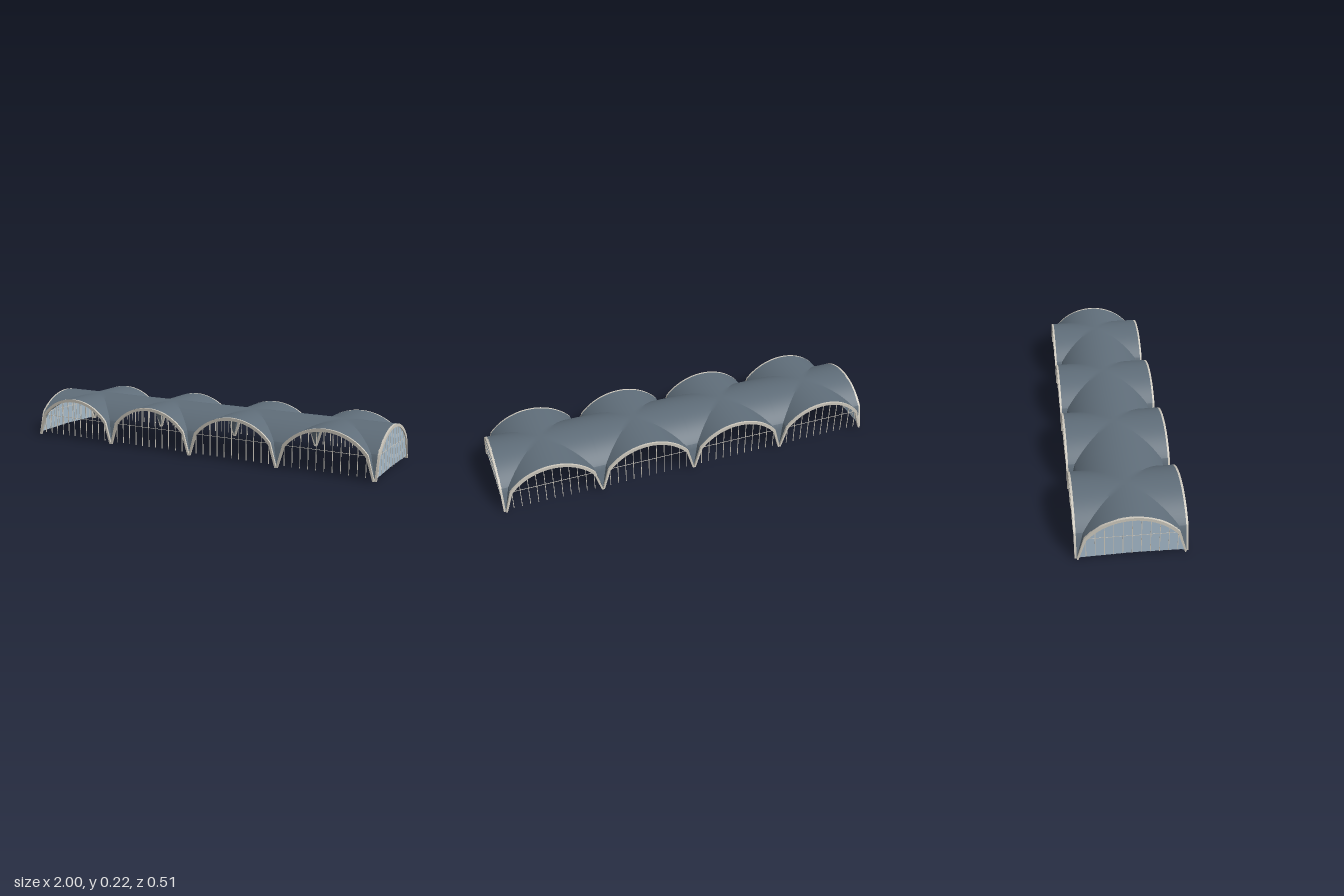
import * as THREE from 'three';
import { toCreasedNormals } from 'three/addons/utils/BufferGeometryUtils.js';

const BAYS = 4, PITCH = 0.495, HALF = 0.247, LENGTH = BAYS * PITCH;
const RIB = 0.012, CENTRE = -0.056;

// Arch heights: a shallow arc that turns into a steep straight leg.
const leg = (s, s0, y0, s1, y1) => y0 + (y1 - y0) * (s - s0) / (s1 - s0);
const outer = s => s < 0.215 ? CENTRE + Math.sqrt(0.278 ** 2 - s * s) : leg(s, 0.215, 0.12, HALF, 0.006);
const inner = s => s < 0.205 ? CENTRE + Math.sqrt(0.263 ** 2 - s * s) : leg(s, 0.205, 0.109, 0.24, 0);

// Points along an arch from -half to +half, closer together towards the feet.
function archPoints(fn, half, knee, n = 32) {
  const pts = [new THREE.Vector2(-half, fn(half))];
  for (let i = 0; i <= n; i++) {
    const s = knee * Math.sin((i / n - 0.5) * Math.PI);
    pts.push(new THREE.Vector2(s, fn(Math.abs(s))));
  }
  pts.push(new THREE.Vector2(half, fn(half)));
  return pts;
}

// Groin-vaulted bay: the higher of two crossing barrel vaults.
function vaultGeometry() {
  const steps = [];
  for (let i = -16; i <= 16; i++) steps.push(0.215 * Math.sin(i / 16 * Math.PI / 2));
  for (const s of [0.223, 0.231, 0.239, HALF]) { steps.push(s); steps.unshift(-s); }
  const n = steps.length, pos = [], index = [];
  for (const z of steps) for (const x of steps) {
    pos.push(x * PITCH / 2 / HALF, outer(Math.min(Math.abs(x), Math.abs(z))), z);
  }
  for (let j = 0; j < n - 1; j++) for (let i = 0; i < n - 1; i++) {
    const a = j * n + i, b = a + 1, c = a + n, d = c + 1;
    const along = (steps[i] + steps[i + 1]) * (steps[j] + steps[j + 1]) > 0;
    if (along) index.push(a, c, d, a, d, b); // cell edge follows the crease
    else index.push(a, c, b, b, c, d);
  }
  const g = new THREE.BufferGeometry();
  g.setAttribute('position', new THREE.Float32BufferAttribute(pos, 3));
  g.setIndex(index);
  return toCreasedNormals(g, 0.4);
}

// Arched rib in the xy plane, with depth along +z.
function ribGeometry() {
  const shape = new THREE.Shape([
    new THREE.Vector2(-HALF, 0), ...archPoints(outer, HALF, 0.215), new THREE.Vector2(HALF, 0),
    ...archPoints(inner, 0.24, 0.205).reverse(),
  ]);
  return toCreasedNormals(new THREE.ExtrudeGeometry(shape, { depth: RIB, bevelEnabled: false }), 0.4);
}

export function createModel() {
  const model = new THREE.Group();
  model.name = 'vaultedCanopy';
  const roofMat = new THREE.MeshStandardMaterial({ color: 0x5f6d79, side: THREE.DoubleSide });
  roofMat.name = 'slateRoof';
  const stoneMat = new THREE.MeshStandardMaterial({ color: 0xcdc8bd });
  stoneMat.name = 'paleStone';
  const glassMat = new THREE.MeshStandardMaterial({ color: 0xa4b8c8, side: THREE.DoubleSide });
  glassMat.name = 'blueGlass';

  const add = (parent, name, geometry, material, x = 0, y = 0, z = 0) => {
    const mesh = new THREE.Mesh(geometry, material);
    mesh.name = name;
    mesh.position.set(x, y, z);
    parent.add(mesh);
    return mesh;
  };

  const vault = vaultGeometry(), rib = ribGeometry();
  const glass = new THREE.ShapeGeometry(new THREE.Shape([
    new THREE.Vector2(-0.24, 0.012), ...archPoints(inner, 0.237, 0.205),
    new THREE.Vector2(0.24, 0.012), new THREE.Vector2(0, 0.017),
  ]));

  // Upright bars under one arch, plus a crossbar.
  function addBars(parent) {
    for (let i = -5; i <= 5; i++) {
      const s = i * 0.0412, top = inner(Math.abs(s)) + 0.003;
      add(parent, 'mullion', new THREE.BoxGeometry(0.003, top - 0.014, 0.003), stoneMat, s, (top + 0.014) / 2, 0.006);
    }
    add(parent, 'crossbar', new THREE.BoxGeometry(0.41, 0.002, 0.002), stoneMat, 0, 0.117, 0.006);
  }

  // Roof bays, each with an open barred arch on both sides
  for (let b = 0; b < BAYS; b++) {
    const x = (b + 0.5) * PITCH - LENGTH / 2;
    add(model, 'vaultBay', vault, roofMat, x);
    for (const side of [1, -1]) {
      const arch = new THREE.Group();
      arch.name = side > 0 ? 'frontArch' : 'backArch';
      add(arch, 'rib', rib, stoneMat);
      addBars(arch);
      arch.position.set(x, 0, side * 0.245);
      arch.rotation.y = side > 0 ? 0 : Math.PI;
      model.add(arch);
    }
  }

  // Glazed arches closing the two ends
  for (const side of [1, -1]) {
    const end = new THREE.Group();
    end.name = side > 0 ? 'leftEnd' : 'rightEnd';
    add(end, 'rib', rib, stoneMat);
    add(end, 'glass', glass, glassMat, 0, 0, 0.006);
    addBars(end);
    end.position.x = side * (1 - RIB);
    end.rotation.y = side * Math.PI / 2;
    model.add(end);
  }
  return model;
}
